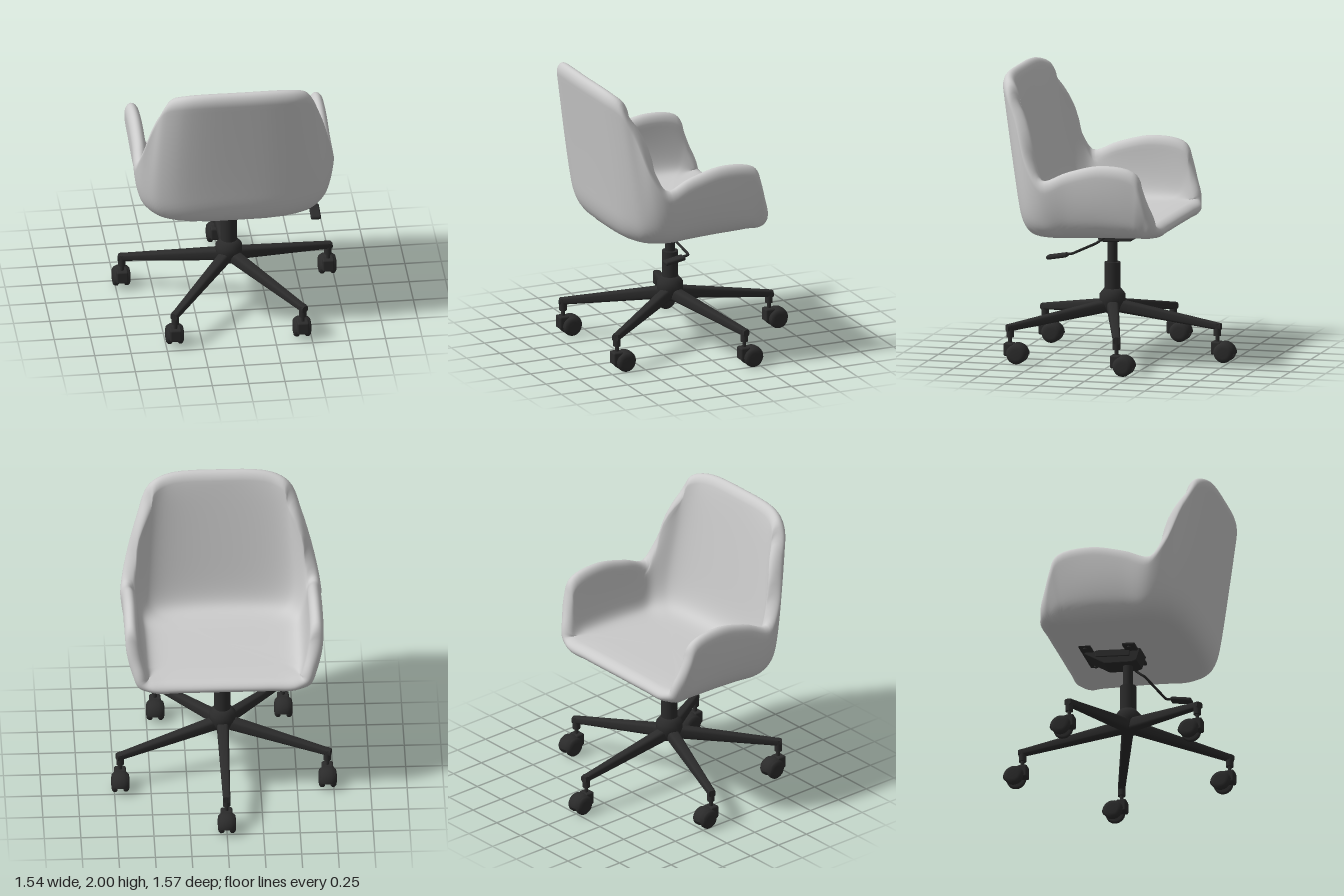
import * as THREE from 'three';
import { mergeVertices } from 'three/addons/utils/BufferGeometryUtils.js';
import { RoundedBoxGeometry } from 'three/addons/geometries/RoundedBoxGeometry.js';

const V = (x, y, z) => new THREE.Vector3(x, y, z);
const lerp = THREE.MathUtils.lerp;
const fabric = new THREE.MeshStandardMaterial({ color: 0xcccccc });
const dark = new THREE.MeshStandardMaterial({ color: 0x2b2b2b });
const darkThin = new THREE.MeshStandardMaterial({ color: 0x2b2b2b, side: THREE.DoubleSide });
const AXIS_Z = 0.085; // centre of the swivel column
const LEG = 0.745;    // column to castor stem

function add(parent, name, geometry, material = dark, x = 0, y = 0, z = 0) {
  const mesh = new THREE.Mesh(geometry, material);
  mesh.name = name;
  mesh.position.set(x, y, z);
  parent.add(mesh);
  return mesh;
}

const lathe = (pts, n = 32, start = 0, sweep = Math.PI * 2) =>
  new THREE.LatheGeometry(pts.map(p => new THREE.Vector2(...p)), n, start, sweep);

// Half of the shell: floor corner, wall control and rim, from front centre round to back centre
const STATIONS = [
  [[0, .92, -.28], [0, .918, -.36], [0, .918, -.405]],
  [[.28, .92, -.28], [.29, .918, -.36], [.3, .918, -.405]],
  [[.45, .92, -.28], [.47, .92, -.355], [.5, .925, -.405]],
  [[.55, .92, -.28], [.585, .945, -.345], [.6, .99, -.395]],
  [[.59, .92, -.265], [.63, 1.04, -.315], [.645, 1.13, -.355]],
  [[.605, .919, -.245], [.66, 1.13, -.275], [.68, 1.29, -.3]],
  [[.61, .917, -.21], [.67, 1.17, -.225], [.685, 1.395, -.245]],
  [[.61, .91, 0], [.685, 1.2, 0], [.68, 1.435, -.02]],
  [[.61, .90, .22], [.685, 1.18, .22], [.68, 1.38, .22]],
  [[.61, .893, .36], [.685, 1.13, .38], [.69, 1.31, .41]],
  [[.58, .889, .46], [.67, 1.17, .47], [.65, 1.47, .53]],
  [[.53, .886, .53], [.62, 1.2, .55], [.56, 1.78, .63]],
  [[.47, .885, .57], [.55, 1.25, .61], [.495, 1.93, .71]],
  [[.34, .883, .61], [.4, 1.3, .665], [.36, 1.978, .77]],
  [[0, .882, .63], [0, 1.35, .69], [0, 1.99, .79]],
];

function shellGeometry() {
  const U = 130, BODY = 40, CAP = 8, HALF = .048, TAPER = .08, ROWS = BODY + CAP;
  const mirrored = STATIONS.slice(1, -1).reverse().map(s => s.map(([x, y, z]) => [-x, y, z]));
  const all = [...STATIONS, ...mirrored];
  const loops = [0, 1, 2].map(k => new THREE.CatmullRomCurve3(all.map(s => V(...s[k])), true));
  const pole = V(0, .905, .1);

  // Each rib runs from the middle of the floor, round the corner and up to the rim
  const ribs = [], cap = [];
  for (let i = 0; i < U; i++) {
    const [E, M, R] = loops.map(c => c.getPoint(i / U));
    const A = pole.clone().lerp(E, .58);
    const ab = A.clone().lerp(E, .5), bc = E.clone().lerp(M, .5);
    const path = new THREE.CurvePath();
    path.add(new THREE.QuadraticBezierCurve3(pole, A, ab));
    path.add(new THREE.QuadraticBezierCurve3(ab, E, bc));
    path.add(new THREE.QuadraticBezierCurve3(bc, M, R));
    const body = 1 - TAPER / path.getLength();
    const rib = [];
    for (let j = 0; j <= ROWS; j++) {
      const phi = Math.max(0, j - BODY) / CAP * Math.PI / 2;
      rib.push(path.getPoint(j <= BODY ? body * j / BODY : body + (1 - body) * Math.sin(phi)));
      cap[j] = j === ROWS ? 0 : Math.cos(phi);
    }
    ribs.push(rib);
  }

  // Outer and inner skins, meeting in a rounded rim
  const outer = [];
  let inner = [];
  for (let i = 0; i < U; i++) {
    const prev = ribs[(i + U - 1) % U], next = ribs[(i + 1) % U];
    const normals = ribs[i].map((p, j) => {
      if (j === 0) return V(0, 1, 0);
      const du = next[j].clone().sub(prev[j]);
      const ds = ribs[i][Math.min(j + 1, ROWS)].clone().sub(ribs[i][j - 1]);
      return du.cross(ds).normalize();
    });
    const skin = s => ribs[i].map((p, j) => p.clone().addScaledVector(normals[j], HALF * (1 + s * cap[j])));
    outer.push(skin(-1));
    inner.push(skin(1));
  }

  // Soften the padding inside, leaving the rim in place
  for (let pass = 0; pass < 36; pass++) {
    inner = inner.map((rib, i) => rib.map((p, j) => {
      if (j === 0 || j > BODY) return p;
      const around = inner[(i + 1) % U][j].clone().add(inner[(i + U - 1) % U][j]);
      return p.clone().multiplyScalar(.4).add(rib[j - 1].clone().add(rib[j + 1]).multiplyScalar(.22))
        .addScaledVector(around, .08);
    }));
  }

  const pos = [], index = [], N = 2 * ROWS + 1;
  for (let i = 0; i < U; i++) {
    const loop = [...outer[i], ...inner[i].slice(0, -1).reverse()];
    loop.forEach((p, v) => {
      pos.push(p.x, p.y, p.z);
      if (v === N - 1) return;
      const a = i * N + v, b = ((i + 1) % U) * N + v;
      index.push(a, a + 1, b, b, a + 1, b + 1);
    });
  }
  const g = new THREE.BufferGeometry();
  g.setAttribute('position', new THREE.Float32BufferAttribute(pos, 3));
  g.setIndex(index);
  const merged = mergeVertices(g, 1e-5);
  merged.computeVertexNormals();
  return merged;
}

// Tapered leg along +z, falling from hub to tip
function legGeometry() {
  const g = new THREE.CylinderGeometry(1, 1, 1, 20, 8);
  const p = g.attributes.position;
  const square = c => Math.sign(c) * Math.pow(Math.abs(c), .6);
  for (let i = 0; i < p.count; i++) {
    const k = p.getY(i) + .5;
    const x = square(p.getX(i)) * lerp(.042, .025, k);
    const y = lerp(.36, .242, k) - square(p.getZ(i)) * lerp(.046, .024, k);
    p.setXYZ(i, x, y, lerp(.02, LEG + .025, k));
  }
  g.computeVertexNormals();
  return g;
}

function makeCastor() {
  const castor = new THREE.Group();
  castor.name = 'castor';
  add(castor, 'castorSocket', new THREE.CylinderGeometry(.026, .026, .085, 20), dark, 0, .222, 0);
  add(castor, 'castorStem', new THREE.CylinderGeometry(.013, .013, .07, 16), dark, 0, .16, 0);
  add(castor, 'castorBlock', new RoundedBoxGeometry(.08, .09, .07, 3, .012), dark, 0, .097, .004);
  const hood = lathe([[.058, -.056], [.07, -.045], [.079, -.025], [.081, 0], [.079, .025], [.07, .045], [.058, .056]], 28, 0, Math.PI);
  add(castor, 'castorHood', hood.rotateZ(Math.PI / 2), darkThin, 0, .064, -.053);
  const wheel = lathe([[0, -.02], [.058, -.02], [.067, -.012], [.067, .006], [.055, .018], [.035, .022], [0, .022]]);
  for (const s of [-1, 1]) {
    add(castor, 'castorWheel', wheel, dark, s * .04, .067, -.053).rotation.z = -s * Math.PI / 2;
  }
  const axle = add(castor, 'castorAxle', new THREE.CylinderGeometry(.015, .015, .06, 12), dark, 0, .067, -.053);
  axle.rotation.z = Math.PI / 2;
  return castor;
}

function makeBase() {
  const base = new THREE.Group();
  base.name = 'base';
  base.position.z = AXIS_Z;
  const leg = legGeometry();
  for (let i = 0; i < 5; i++) {
    const a = Math.PI + i * Math.PI * 2 / 5;
    add(base, 'leg', leg).rotation.y = a;
    const castor = makeCastor();
    castor.position.set(Math.sin(a) * LEG, 0, Math.cos(a) * LEG);
    base.add(castor);
  }
  add(base, 'hub', lathe([[0, .31], [.06, .31], [.075, .34], [.09, .385], [.09, .435], [.058, .475], [0, .475]]));
  add(base, 'columnSleeve', new THREE.CylinderGeometry(.056, .056, .2, 32), dark, 0, .556, 0);
  add(base, 'gasLift', new THREE.CylinderGeometry(.034, .034, .2, 28), dark, 0, .74, 0);
  return base;
}

function makeMechanism() {
  const mech = new THREE.Group();
  mech.name = 'tiltMechanism';
  // Housing: side profile extruded across x (shape x is -z)
  const side = new THREE.Shape([[-.19, .91], [-.16, .82], [-.13, .81], [.06, .82], [.2, .905], [.2, .94]]
    .map(p => new THREE.Vector2(...p)));
  const housing = new THREE.ExtrudeGeometry(side, { depth: .15, bevelEnabled: true, bevelSize: .005, bevelThickness: .005, bevelSegments: 2 });
  housing.translate(0, 0, -.075).rotateY(Math.PI / 2);
  add(mech, 'housing', housing);
  // Mounting plates under the seat
  for (const [z, y] of [[.13, .9], [-.18, .922]]) {
    add(mech, 'mountingPlate', new RoundedBoxGeometry(.36, .025, .09, 3, .01), dark, 0, y, z).rotation.x = .07;
    for (const s of [-1, 1]) add(mech, 'bolt', new THREE.CylinderGeometry(.014, .014, .012, 12), dark, s * .15, y - .015, z);
  }
  for (const s of [-1, 1]) {
    add(mech, 'bracketRib', new RoundedBoxGeometry(.012, .05, .24, 2, .005), dark, s * .092, .88, 0).rotation.x = .07;
  }
  // Height lever
  const route = [[.06, .86, .08], [.17, .86, .09], [.182, .85, .1], [.182, .818, .14], [.2, .81, .155], [.53, .806, .2], [.56, .803, .21], [.565, .795, .27]];
  const rod = new THREE.CatmullRomCurve3(route.map(p => V(...p)), false, 'catmullrom', .2);
  add(mech, 'leverRod', new THREE.TubeGeometry(rod, 60, .009, 10));
  add(mech, 'leverPaddle', new RoundedBoxGeometry(.07, .03, .15, 4, .013), dark, .565, .782, .315).rotation.x = .17;
  return mech;
}

export function createModel() {
  const chair = new THREE.Group();
  chair.name = 'officeChair';
  add(chair, 'seatShell', shellGeometry(), fabric);
  chair.add(makeMechanism(), makeBase());
  return chair;
}
